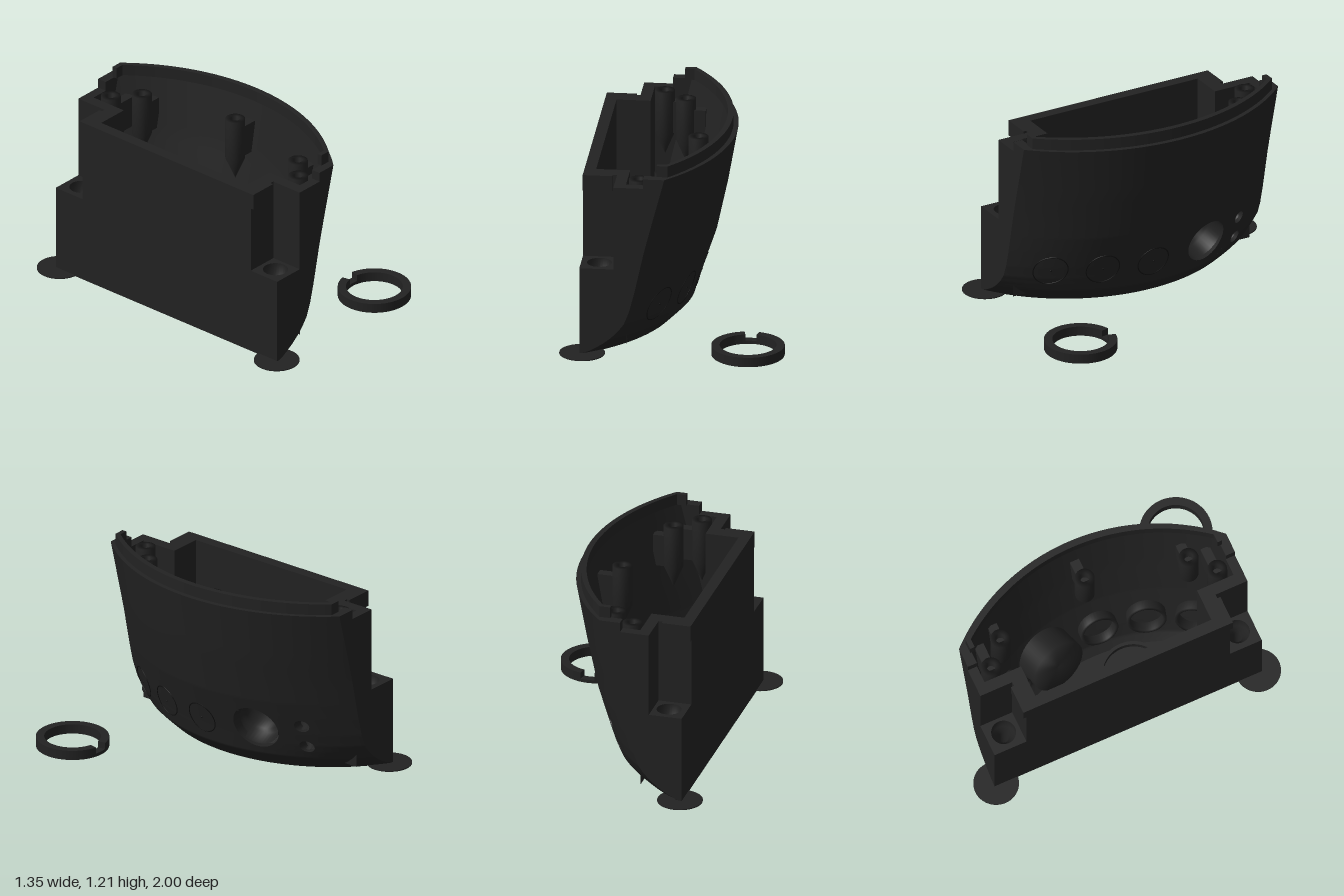
import * as THREE from 'three';

const black = new THREE.MeshStandardMaterial({ color: 0x222222, side: THREE.DoubleSide });
black.name = 'black plastic';
const gap = new THREE.MeshStandardMaterial({ color: 0x0e0e0e });
gap.name = 'dark gap';

const BACK = -0.555, END = 0.88, NOTCH_X = -0.35, NOTCH_Z = 0.67, LEDGE = 0.55;
const TOP = 1.075, RIM = 1.135, RIM_X = -0.17, FLOOR = 0.05, WALL = 0.065;
const IN_BACK = -0.485, IN_Z = 0.58, IN_X = -0.28, IN_END = 0.82;

// [y, x] profiles of the curved front: on the middle plane and at both ends
const middle = [[0, -0.05], [0.1, 0.05], [0.22, 0.085], [0.5, 0.18], [0.8, 0.245], [1.21, 0.318]];
const ends = [[0, -0.55], [0.02, -0.5], [0.045, -0.455], [0.07, -0.415], [0.11, -0.365], [0.15, -0.325],
  [0.2, -0.287], [0.28, -0.256], [0.4, -0.225], [0.65, -0.17], [0.8, -0.132], [1.21, -0.024]];
function at(profile, y) {
  let i = 0;
  while (i < profile.length - 2 && profile[i + 1][0] < y) i++;
  const [a, b] = [profile[i], profile[i + 1]];
  return a[1] + (b[1] - a[1]) * (y - a[0]) / (b[0] - a[0]);
}
// Outer and inner front surfaces: a circular arc at every height
function outer(z, y) {
  const xc = at(middle, y), s = xc - at(ends, y);
  const R = (END * END + s * s) / (2 * s);
  return xc - R + Math.sqrt(R * R - z * z);
}
const inner = (z, y) => Math.max(outer(z, y) - WALL, IN_X);
function normalAt(z, y) {
  const e = 0.02;
  return new THREE.Vector3(1, -(outer(z, y + e) - outer(z, y - e)) / (2 * e),
    -(outer(z + e, y) - outer(z - e, y)) / (2 * e)).normalize();
}

// Openings in the front wall: centre, radius, half size of the patch around it
const openings = [
  { z: -0.32, y: 0.29, r: 0.14, hz: 0.16, hy: 0.16 },
  { z: -0.6, y: 0.34, r: 0.04, hz: 0.06, hy: 0.07 },
  { z: -0.6, y: 0.19, r: 0.04, hz: 0.06, hy: 0.07 },
];

function mesh(group, name, geometry, material = black) {
  const m = new THREE.Mesh(geometry, material);
  m.name = name;
  group.add(m);
  return m;
}

// Grid of points from point(i, j); cells may be skipped
function grid(nu, nv, point, skip = () => false) {
  const pos = [], index = [];
  for (let j = 0; j <= nv; j++) for (let i = 0; i <= nu; i++) pos.push(...point(i, j));
  for (let j = 0; j < nv; j++) for (let i = 0; i < nu; i++) {
    if (skip(i, j)) continue;
    const a = j * (nu + 1) + i, b = a + 1, c = a + nu + 1, d = c + 1;
    index.push(a, c, b, b, c, d);
  }
  const g = new THREE.BufferGeometry();
  g.setAttribute('position', new THREE.Float32BufferAttribute(pos, 3));
  g.setIndex(index);
  g.computeVertexNormals();
  return g;
}

// Flat face from 2D points, placed in space by a mapping
function face(points, place, holes = []) {
  const shape = new THREE.Shape(points.map(p => new THREE.Vector2(...p)));
  for (const h of holes) shape.holes.push(Array.isArray(h)
    ? new THREE.Path(h.map(p => new THREE.Vector2(...p)))
    : new THREE.Path().absarc(h.x, h.z, h.r, 0, Math.PI * 2));
  const g = new THREE.ShapeGeometry(shape, 16), p = g.attributes.position;
  for (let i = 0; i < p.count; i++) p.setXYZ(i, ...place(p.getX(i), p.getY(i)));
  g.computeVertexNormals();
  return g;
}
const rect = (a, b, c, d) => [[a, c], [b, c], [b, d], [a, d]];
const level = y => (x, z) => [x, y, z];
const atX = x => (z, y) => [x, y, z];
const atZ = z => (x, y) => [x, y, z];

function frontWall(group, name, surface, zMax, yMin) {
  const zs = [], ys = [];
  for (let i = -44; i <= 44; i++) if (Math.abs(i / 50) <= zMax + 1e-6) zs.push(i / 50);
  for (let i = 0; i <= 55; i++) if (i / 100 >= yMin - 1e-6) ys.push(i / 100);
  for (let y = 0.6; y < 1.06; y += 0.05) ys.push(y);
  ys.push(TOP, RIM);
  mesh(group, name, grid(zs.length - 1, ys.length - 1, (i, j) => [surface(zs[i], ys[j]), ys[j], zs[i]],
    (i, j) => openings.some(o => Math.abs((zs[i] + zs[i + 1]) / 2 - o.z) < o.hz
      && Math.abs((ys[j] + ys[j + 1]) / 2 - o.y) < o.hy)));
  // Square patches with a round hole
  for (const o of openings) mesh(group, name + 'Opening', grid(48, 4, (i, j) => {
    const c = Math.cos(i * Math.PI / 24), s = Math.sin(i * Math.PI / 24);
    const m = Math.max(Math.abs(c), Math.abs(s)), t = j / 4;
    const z = o.z + (1 - t) * o.hz * c / m + t * o.r * c;
    const y = o.y + (1 - t) * o.hy * s / m + t * o.r * s;
    return [surface(z, y), y, z];
  }));
  return zs;
}

// Hollow turned part whose axis starts on the front wall and runs inwards (profile: [radius, depth])
function socket(group, name, z, y, profile) {
  const g = new THREE.LatheGeometry(profile.map(p => new THREE.Vector2(...p)), 40);
  const m = mesh(group, name, g);
  m.position.set(outer(z, y), y, z);
  m.quaternion.setFromUnitVectors(new THREE.Vector3(0, 1, 0), normalAt(z, y).negate());
}

export function createModel() {
  const model = new THREE.Group();
  model.name = 'enclosure';
  const shell = new THREE.Group();
  shell.name = 'shell';
  model.add(shell);

  const zs = frontWall(shell, 'frontOuterWall', outer, END, 0);
  const inZs = frontWall(shell, 'frontInnerWall', inner, IN_END, FLOOR);
  for (const o of openings) mesh(shell, 'openingEdge', grid(48, 1, (i, j) => {
    const z = o.z + o.r * Math.cos(i * Math.PI / 24), y = o.y + o.r * Math.sin(i * Math.PI / 24);
    return [j ? outer(z, y) : inner(z, y), y, z];
  }));

  // Speaker holes in the floor
  const holes = [{ x: -0.29, z: 0.165, r: 0.013 }];
  for (let i = 0; i < 6; i++) holes.push({ x: -0.29 + 0.045 * Math.sin(i * Math.PI / 3), z: 0.165 + 0.045 * Math.cos(i * Math.PI / 3), r: 0.013 });
  const cavity = y => [[IN_BACK, -IN_Z], [IN_X, -IN_Z], [IN_X, -IN_END], ...inZs.map(z => [inner(z, y) + 1e-4, z]),
    [IN_X, IN_END], [IN_X, IN_Z], [IN_BACK, IN_Z]];
  mesh(shell, 'bottom', face([[BACK, -END], ...zs.map(z => [outer(z, 0), z]), [BACK, END]], level(0), holes));
  mesh(shell, 'floor', face([[IN_BACK, -IN_Z], ...inZs.filter(z => Math.abs(z) < 0.7).map(z => [inner(z, FLOOR), z]),
    [IN_BACK, IN_Z]], level(FLOOR), holes));
  for (const h of holes) mesh(shell, 'speakerHole', new THREE.CylinderGeometry(h.r, h.r, FLOOR, 16, 1, true)).position.set(h.x, FLOOR / 2, h.z);

  // Top edges, with the higher rim along the front
  const topOutline = [[BACK, -NOTCH_Z], [NOTCH_X, -NOTCH_Z], [NOTCH_X, -END], ...zs.map(z => [outer(z, TOP), z]),
    [NOTCH_X, END], [NOTCH_X, NOTCH_Z], [BACK, NOTCH_Z]];
  mesh(shell, 'topEdge', face(topOutline, level(TOP), [cavity(TOP)]));
  mesh(shell, 'rimEdge', face([[RIM_X, -END], ...zs.map(z => [outer(z, RIM), z]), [RIM_X, END], [RIM_X, IN_END],
    ...inZs.map(z => [inner(z, RIM), z]).reverse(), [RIM_X, -IN_END]], level(RIM)));

  // Back wall and cavity back
  mesh(shell, 'backWall', face([[-END, 0], [END, 0], [END, LEDGE], [NOTCH_Z, LEDGE], [NOTCH_Z, TOP],
    [-NOTCH_Z, TOP], [-NOTCH_Z, LEDGE], [-END, LEDGE]], atX(BACK)));
  mesh(shell, 'cavityBack', face(rect(-IN_Z, IN_Z, FLOOR, TOP), atX(IN_BACK)));

  const profileYs = [...ends.map(e => e[0]).filter(y => y < RIM), RIM];
  for (const s of [-1, 1]) {
    // End walls
    mesh(shell, 'endWall', face([[BACK, 0], ...profileYs.map(y => [outer(END, y), y]), [RIM_X, RIM], [RIM_X, TOP],
      [NOTCH_X, TOP], [NOTCH_X, LEDGE], [BACK, LEDGE]], atZ(s * END)));
    const inYs = [0.35, ...profileYs.filter(y => y > 0.35)];
    mesh(shell, 'endInnerWall', face([[IN_X, 0.35], ...inYs.map(y => [inner(IN_END, y), y]), [RIM_X, RIM], [RIM_X, TOP],
      [IN_X, TOP]], atZ(s * IN_END)));
    mesh(shell, 'rimEnd', face(rect(s * IN_END, s * END, TOP, RIM), atX(RIM_X)));
    mesh(shell, 'cavityStep', face(rect(s * IN_Z, s * IN_END, 0.15, TOP), atX(IN_X)));
    mesh(shell, 'cavitySide', face(rect(IN_BACK, IN_X, FLOOR, TOP), atZ(s * IN_Z)));
    // Corner notch with a bored ledge
    mesh(shell, 'notchFront', face(rect(s * NOTCH_Z, s * END, LEDGE, TOP), atX(NOTCH_X)));
    mesh(shell, 'notchSide', face(rect(BACK, NOTCH_X, LEDGE, TOP), atZ(s * NOTCH_Z)));
    mesh(shell, 'notchLedge', face(rect(BACK, NOTCH_X, s * NOTCH_Z, s * END), level(LEDGE), [{ x: -0.445, z: s * 0.77, r: 0.075 }]));
    mesh(shell, 'screwBore', new THREE.LatheGeometry([[0, 0.2], [0.03, 0.2], [0.03, 0.45], [0.075, 0.45], [0.075, LEDGE]]
      .map(p => new THREE.Vector2(...p)), 32)).position.set(-0.445, 0, s * 0.77);
    mesh(shell, 'notchCap', new THREE.BoxGeometry(0.18, 0.1, 0.02)).position.set(BACK + 0.09, TOP - 0.05, s * (NOTCH_Z + 0.01));
    // Round pads under the back corners
    mesh(model, 'cornerPad', new THREE.CylinderGeometry(0.137, 0.137, 0.006, 48)).position.set(-0.54, 0.003, s * 0.863);
  }

  // Raised lip inside the rim
  const lipZs = zs.filter(z => Math.abs(z) < 0.81);
  const lipPath = (offset, zEnd) => [[-0.095, -zEnd], [outer(zEnd, RIM) - offset, -zEnd],
    ...lipZs.filter(z => Math.abs(z) < zEnd).map(z => [outer(z, RIM) - offset, z]), [outer(zEnd, RIM) - offset, zEnd], [-0.095, zEnd]];
  const lipShape = new THREE.Shape([...lipPath(0.03, 0.83), ...lipPath(WALL, 0.8).reverse()].map(p => new THREE.Vector2(...p)));
  const lip = new THREE.ExtrudeGeometry(lipShape, { depth: 0.07, bevelEnabled: false });
  lip.rotateX(Math.PI / 2);
  mesh(model, 'lip', lip).position.y = 1.205;

  // Screw posts with tapered feet, webbed to the wall
  for (const [x, z] of [[-0.21, -0.745], [-0.21, 0.745], [-0.07, -0.62], [-0.07, 0.62], [0.07, 0]]) {
    const p = [[0, 0.68], [0.06, 0.82], [0.06, 1.085], [0.028, 1.085], [0.028, 0.95], [0, 0.95]];
    mesh(model, 'screwPost', new THREE.LatheGeometry(p.map(q => new THREE.Vector2(...q)), 28)).position.set(x, 0, z);
    const length = Math.max(inner(z, 0.9) - x + 0.02, 0.03);
    mesh(model, 'postWeb', new THREE.BoxGeometry(length, 0.2, 0.06)).position.set(x + length / 2, 0.92, z);
  }

  // Sockets behind the front wall
  socket(model, 'mainSocket', -0.32, 0.29, [[0.142, 0.02], [0.142, 0.12], [0.11, 0.12], [0.11, 0.2], [0, 0.2], [0, 0.22], [0.18, 0.22], [0.18, 0.03]]);
  for (const y of [0.19, 0.34]) socket(model, 'smallSocket', -0.6, y, [[0.041, 0.02], [0.041, 0.19], [0.06, 0.19], [0.06, 0.04]]);

  // Flush buttons: thin round gaps, centre dots and collars inside
  for (const [z, y, rz] of [[0.665, 0.26, 0.088], [0.38, 0.26, 0.096], [0.065, 0.26, 0.1]]) {
    const loop = [];
    for (let i = 0; i < 32; i++) {
      const a = i * Math.PI / 16, pz = z + rz * Math.cos(a), py = y + 0.1 * Math.sin(a);
      loop.push(new THREE.Vector3(outer(pz, py), py, pz));
    }
    mesh(model, 'buttonGap', new THREE.TubeGeometry(new THREE.CatmullRomCurve3(loop, true), 64, 0.0035, 6, true), gap);
    mesh(model, 'buttonDot', new THREE.SphereGeometry(0.006, 10, 8), gap).position.set(outer(z, y), y, z);
    socket(model, 'buttonCollar', z, y, [[0.1, 0.05], [0.1, 0.12], [0.12, 0.12], [0.12, 0.05]]);
  }

  // Speaker seat on the floor and the loose slotted ring
  const ringPart = (name, x, y, z, R, r, h, gapAngle) => {
    const a = Math.PI / 2 + gapAngle, b = Math.PI * 2.5 - gapAngle;
    const s = new THREE.Shape();
    s.absarc(0, 0, R, a, b, false);
    if (gapAngle) s.absarc(0, 0, r, b, a, true);
    else s.holes.push(new THREE.Path().absarc(0, 0, r, 0, Math.PI * 2, true));
    const g = new THREE.ExtrudeGeometry(s, { depth: h, bevelEnabled: false, curveSegments: 48 });
    g.rotateX(-Math.PI / 2);
    mesh(model, name, g).position.set(x, y, z);
  };
  ringPart('speakerSeat', -0.275, FLOOR, 0.165, 0.205, 0.185, 0.04, 0);
  ringPart('looseRingBase', 0.45, 0, 0.775, 0.22, 0.17, 0.02, 0);
  ringPart('looseRing', 0.45, 0.02, 0.775, 0.22, 0.17, 0.04, 0.2);

  return model;
}
